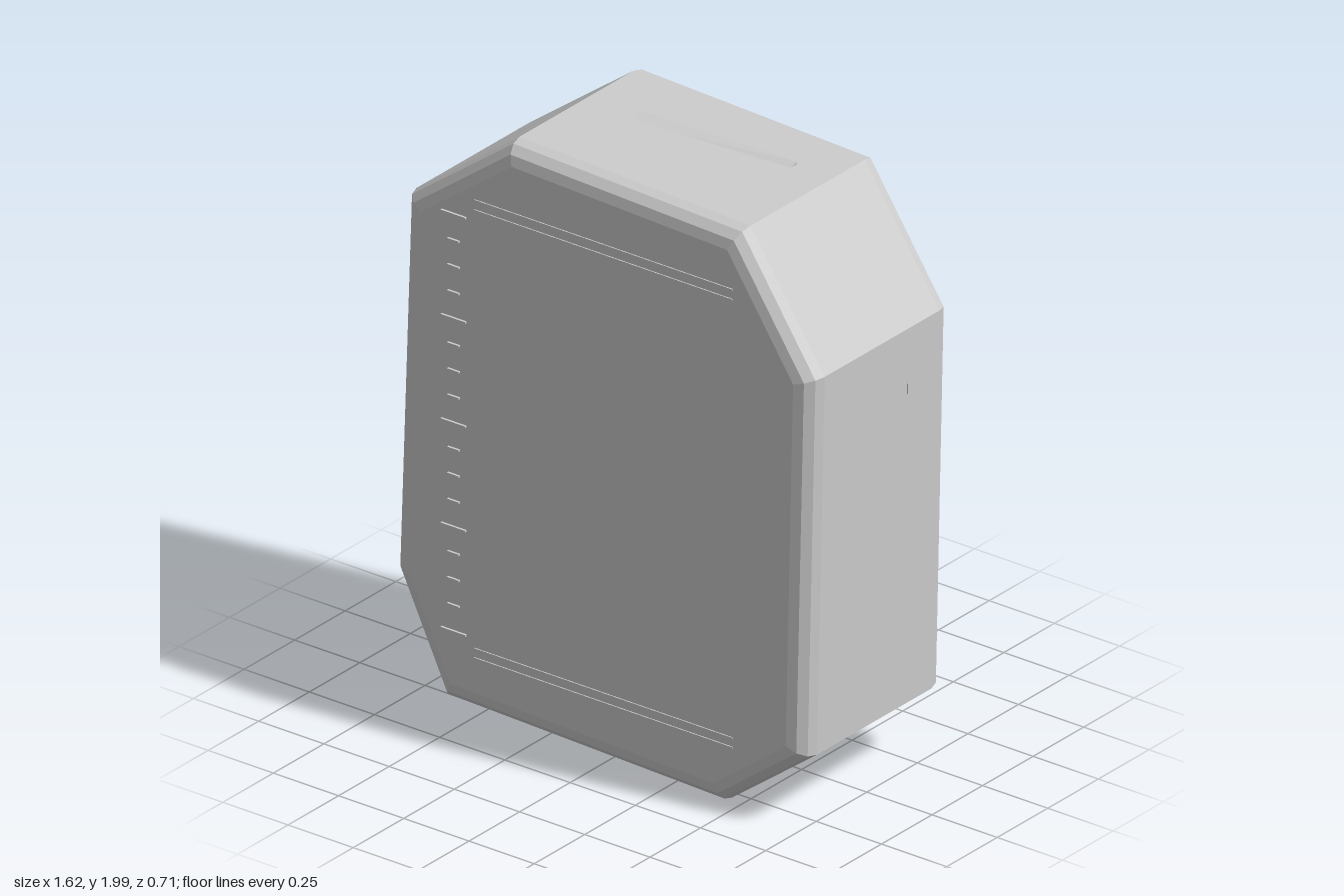
import * as THREE from 'three';
import { ConvexGeometry } from 'three/addons/geometries/ConvexGeometry.js';

const grey = new THREE.MeshStandardMaterial({ color: 0xcccccc, flatShading: true });

function add(parent, name, geometry, x = 0, y = 0, z = 0) {
  const mesh = new THREE.Mesh(geometry, grey);
  mesh.name = name;
  mesh.position.set(x, y, z);
  parent.add(mesh);
  return mesh;
}

// Slim raised sliver: convex hull of a ridge line and its buried feet
function sliver(parent, name, points) {
  return add(parent, name, new ConvexGeometry(points.map((p) => new THREE.Vector3(...p))));
}

export function createModel() {
  const model = new THREE.Group();
  model.name = 'octagonalCase';

  // Slightly skewed eight-sided body with rounded front and back rims
  const outline = [
    [-0.62, 0.035], [0.45, 0.005], [0.775, 0.25], [0.805, 1.54],
    [0.52, 1.965], [-0.365, 1.995], [-0.76, 1.7], [-0.805, 0.42],
  ].map(([x, y]) => new THREE.Vector2(x, y));
  const bevel = 0.068, back = -0.355, front = 0.347;
  const body = new THREE.ExtrudeGeometry(new THREE.Shape(outline), {
    depth: front - back - 2 * bevel,
    bevelThickness: bevel,
    bevelSize: bevel,
    bevelOffset: -bevel,
    bevelSegments: 3,
  });
  add(model, 'body', body, 0, 0, back + bevel);

  // Scale ticks down the front, every fourth one long
  const ticks = new THREE.Group();
  ticks.name = 'scaleTicks';
  model.add(ticks);
  for (let i = 0; i <= 16; i++) {
    const long = i % 4 === 0;
    const size = long ? 0.095 : 0.045;
    add(ticks, long ? 'longTick' : 'shortTick',
      new THREE.BoxGeometry(size, 0.006, 0.02), -0.563, 1.7 - i * 0.0884, 0.345);
  }

  // Paired thin ribs across the top and bottom of the front
  const ribs = new THREE.Group();
  ribs.name = 'frontRibs';
  model.add(ribs);
  for (const y of [1.77, 1.736, 0.25, 0.218]) {
    add(ribs, 'rib', new THREE.BoxGeometry(0.99, 0.006, 0.016), 0.01, y, 0.343);
  }

  // Sliver on the top face
  sliver(model, 'topSliver', [
    [-0.19, 1.999, -0.08], [0.385, 1.98, -0.125],
    [-0.19, 1.97, -0.083], [0.385, 1.95, -0.128],
    [-0.165, 1.985, -0.025], [0.38, 1.967, -0.09],
  ]);

  // Sliver on the side face at -x
  sliver(model, 'sideSliver', [
    [-0.81, 0.55, -0.08], [-0.779, 1.42, -0.14],
    [-0.78, 0.55, -0.083], [-0.75, 1.42, -0.143],
    [-0.797, 0.56, -0.045], [-0.767, 1.4, -0.115],
  ]);

  // Tiny mark on the side face at +x
  add(model, 'sideMark', new THREE.BoxGeometry(0.02, 0.035, 0.005), 0.794, 1.335, -0.137);

  return model;
}
